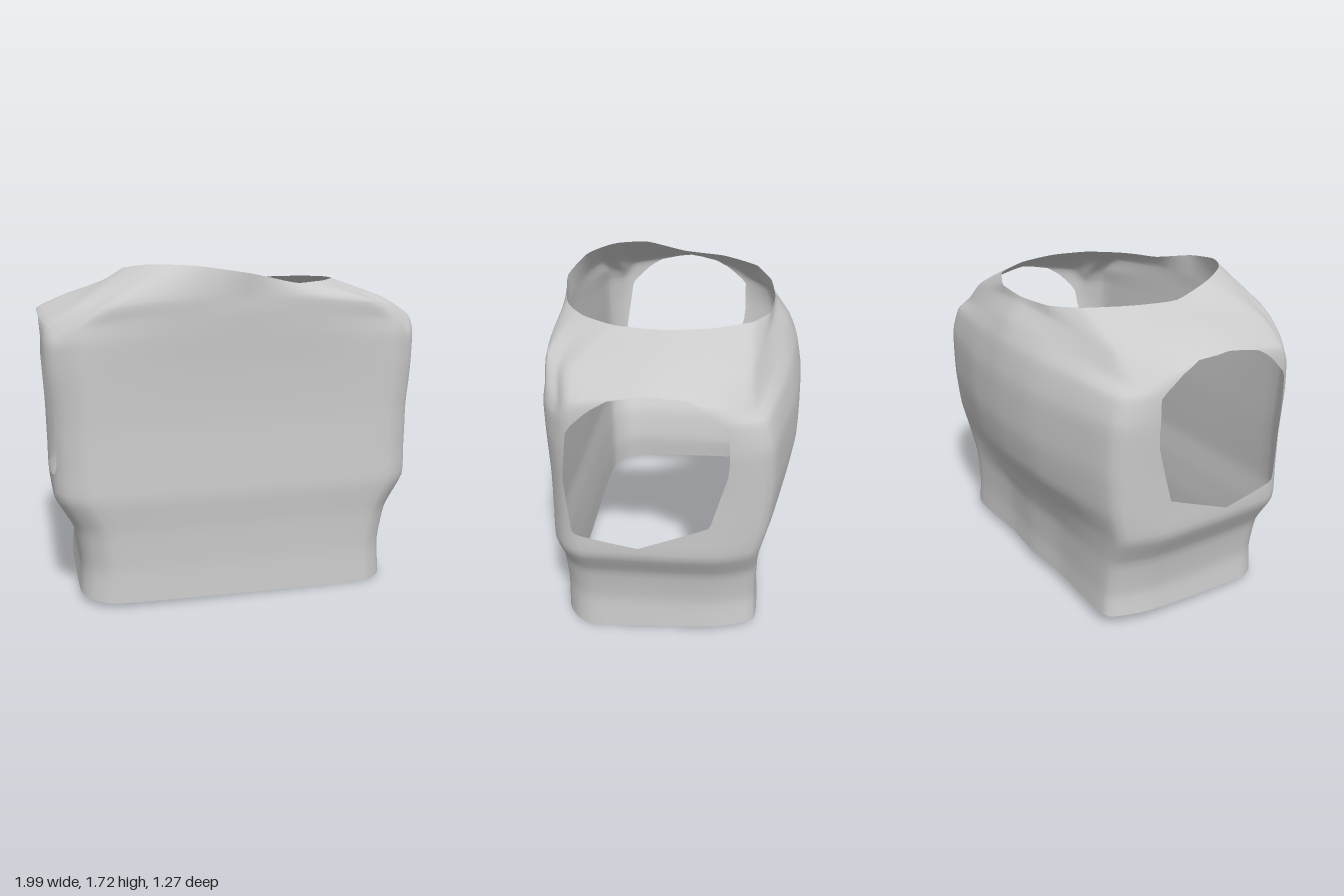
import * as THREE from 'three';

// body rings: height, half width, front z, back z, back corner z, corner softening
const RINGS = [
  [0.03, 0.84, 0.588, -0.462, -0.45, 0],
  [0.2, 0.83, 0.583, -0.455, -0.44, 0],
  [0.4, 0.865, 0.59, -0.468, -0.44, 0],
  [0.57, 0.955, 0.605, -0.52, -0.45, 0],
  [0.73, 0.96, 0.6, -0.6, -0.485, 0],
  [0.95, 0.965, 0.595, -0.637, -0.505, 0],
  [1.2, 0.985, 0.6, -0.635, -0.505, 0.01],
  [1.38, 1.0, 0.613, -0.603, -0.49, 0.05],
  [1.49, 0.995, 0.62, -0.553, -0.465, 0.1],
  [1.57, 0.82, 0.62, -0.49, -0.41, 0.06],
];
// how strongly each point of a half ring follows the corner softening
const SOFT = [0, 0.2, 0.65, 1, 0.6, 0, 0.75, 1.4, 0.95, 0.4, 0];

// neck opening, half loop from front to back: x, y, z, extra height on the right side
const NECK = [
  [0, 1.68, 0.63, 0], [0.25, 1.63, 0.58, 0.085], [0.37, 1.632, 0.515, 0.088],
  [0.46, 1.635, 0.44, 0.085], [0.565, 1.64, 0.28, 0.06], [0.6, 1.64, 0.06, 0],
  [0.55, 1.635, -0.17, 0], [0.43, 1.625, -0.36, 0], [0.34, 1.615, -0.41, 0],
  [0.23, 1.605, -0.455, 0], [0, 1.6, -0.475, 0],
];
// arm opening, a convex outline: z, y
const ARM = [
  [0.465, 0.7], [0.14, 0.635], [-0.21, 0.775], [-0.3, 1.1], [-0.295, 1.33],
  [-0.13, 1.465], [0.08, 1.495], [0.29, 1.45], [0.445, 1.3], [0.49, 1.0],
];

// closed loop from a half loop that runs front to back on the left side
const mirrorLoop = (half, rise = () => 0) => {
  const left = half.map(p => new THREE.Vector3(...p));
  const right = half.map((p, i) => new THREE.Vector3(-p[0], p[1] + rise(i), p[2]));
  return [...left, ...right.slice(1, -1).reverse()];
};

// rounded box section with a bulging back; softened corners sink and move inward
function bodyRing([y, w, f, b, c, r]) {
  const half = [
    [0, f], [0.45 * w, f], [0.82 * w, f - 0.012], [0.945 * w, f - 0.08],
    [w, f - 0.18], [w, 0.06], [0.985 * w, c + 0.21], [0.905 * w, c + 0.01],
    [0.66 * w, c * 0.6 + b * 0.4], [0.33 * w, b + 0.018], [0, b],
  ];
  return mirrorLoop(half.map(([x, z], i) => {
    const s = r * SOFT[i];
    return [x * (1 - 0.5 * s), y - 0.8 * s, z * (1 - 0.9 * s)];
  }));
}

// positive outside the arm opening, negative inside
function armDistance(y, z) {
  let d = -Infinity;
  ARM.forEach(([z0, y0], i) => {
    const [z1, y1] = ARM[(i + 1) % ARM.length];
    const dz = z1 - z0, dy = y1 - y0;
    d = Math.max(d, ((y - y0) * dz - (z - z0) * dy) / Math.hypot(dz, dy));
  });
  return d;
}

// closed grid through the rings, with only lightly curved spans
function loftGrid(loops, cols, rows) {
  const curve = (pts, closed) => new THREE.CatmullRomCurve3(pts, closed, 'catmullrom', 0.3);
  const across = loops.map(l => curve(l, true));
  const pos = [], index = [];
  for (let i = 0; i < cols; i++) {
    const up = curve(across.map(c => c.getPoint(i / cols)), false);
    for (let j = 0; j <= rows; j++) pos.push(...up.getPoint(j / rows).toArray());
  }
  for (let i = 0; i < cols; i++) {
    for (let j = 0; j < rows; j++) {
      const a = i * (rows + 1) + j, b = ((i + 1) % cols) * (rows + 1) + j;
      index.push(a, b, b + 1, a, b + 1, a + 1);
    }
  }
  const g = new THREE.BufferGeometry();
  g.setAttribute('position', new THREE.Float32BufferAttribute(pos, 3));
  g.setIndex(index);
  g.computeVertexNormals();
  return g;
}

// trim every triangle against the arm openings
function cutArms(grid) {
  const { position, normal } = grid.attributes, idx = grid.index.array;
  const verts = Array.from({ length: position.count }, (_, i) => {
    const p = new THREE.Vector3().fromBufferAttribute(position, i);
    return { p, n: new THREE.Vector3().fromBufferAttribute(normal, i), d: armDistance(p.y, p.z) };
  });
  const pos = [], nor = [];
  for (let t = 0; t < idx.length; t += 3) {
    const poly = [];
    for (let k = 0; k < 3; k++) {
      const a = verts[idx[t + k]], b = verts[idx[t + (k + 1) % 3]];
      if (a.d >= 0) poly.push(a);
      if ((a.d >= 0) !== (b.d >= 0)) {
        const s = a.d / (a.d - b.d);
        poly.push({ p: a.p.clone().lerp(b.p, s), n: a.n.clone().lerp(b.n, s).normalize() });
      }
    }
    for (let k = 2; k < poly.length; k++) {
      for (const v of [poly[0], poly[k - 1], poly[k]]) {
        pos.push(v.p.x, v.p.y, v.p.z);
        nor.push(v.n.x, v.n.y, v.n.z);
      }
    }
  }
  const g = new THREE.BufferGeometry();
  g.setAttribute('position', new THREE.Float32BufferAttribute(pos, 3));
  g.setAttribute('normal', new THREE.Float32BufferAttribute(nor, 3));
  return g;
}

export function createModel() {
  const group = new THREE.Group();
  group.name = 'sleevelessVest';

  const loops = RINGS.map(bodyRing);
  // slanted hem
  loops[0].forEach(p => { p.y = 0.043 - 0.02 * p.x - 0.045 * p.z; });
  // collar, lifted at the right front
  loops.push(mirrorLoop(NECK.map(p => p.slice(0, 3)), i => NECK[i][3]));

  const shell = new THREE.Mesh(
    cutArms(loftGrid(loops, 80, 40)),
    new THREE.MeshStandardMaterial({ color: 0xcccccc, side: THREE.DoubleSide }),
  );
  shell.name = 'vestShell';
  group.add(shell);
  return group;
}
